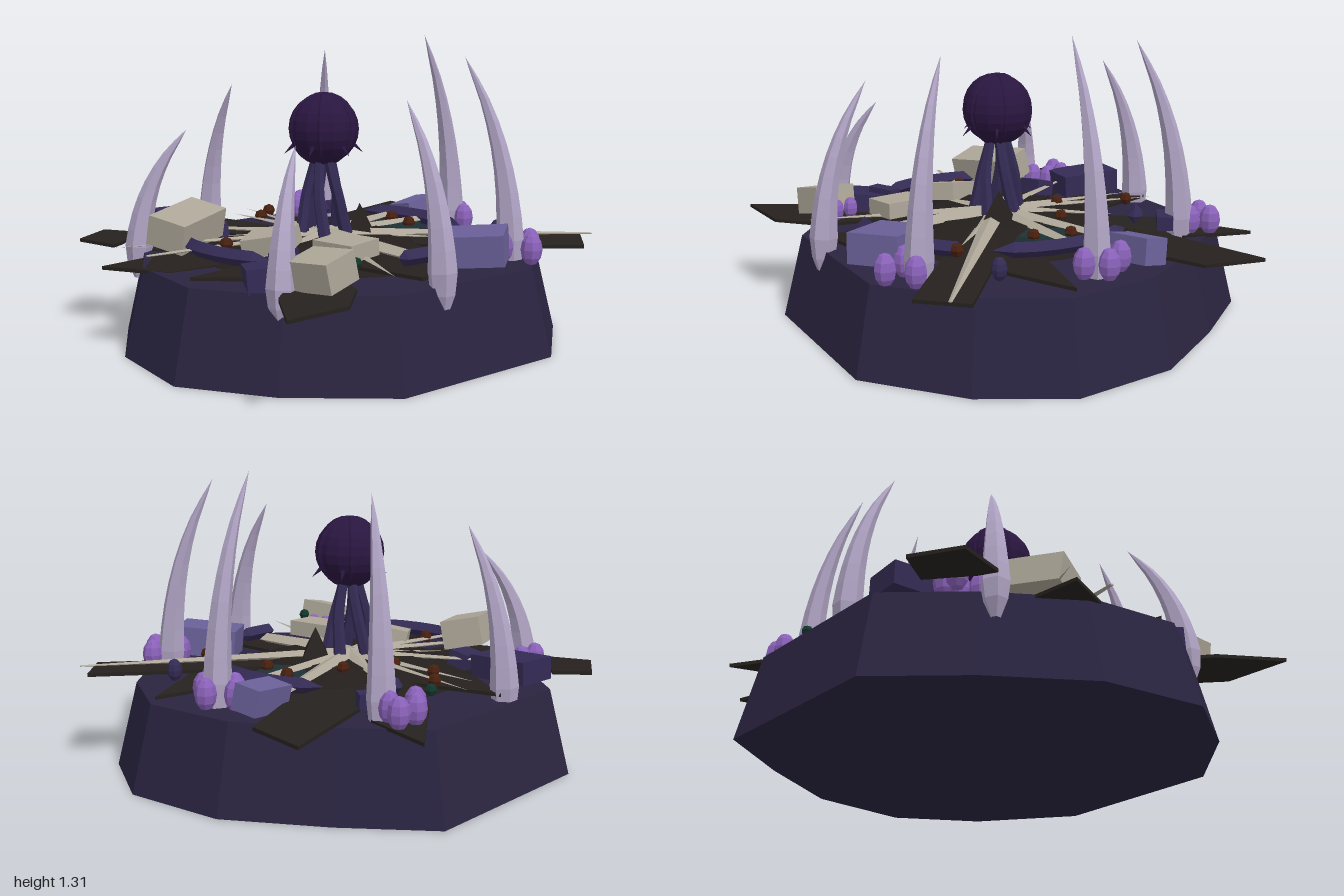
import * as THREE from 'three';
import { ConvexGeometry } from 'three/addons/geometries/ConvexGeometry.js';

const V = (x, y, z) => new THREE.Vector3(x, y, z);
const mat = (color) => new THREE.MeshStandardMaterial({ color, flatShading: true, side: THREE.DoubleSide });
const M = {
  base: mat(0x2a2440), soil: mat(0x231e1c), shard: mat(0x26211e), bone: mat(0xada698),
  claw: mat(0xb0a4c4), violet: mat(0x6a6098), dark: mat(0x342b54), orb: mat(0x2a1640),
  bulb: mat(0x8a62ba), rust: mat(0x48200f), green: mat(0x12362a), teal: mat(0x1d3034),
};

export function createModel() {
  const root = new THREE.Group();
  const CX = 0.025, CZ = 0.065;

  const add = (name, geometry, material, x = 0, y = 0, z = 0) => {
    const mesh = new THREE.Mesh(geometry, material);
    mesh.name = name;
    mesh.position.set(x, y, z);
    root.add(mesh);
    return mesh;
  };

  // Tube whose radius follows a function of its length
  const taperedTube = (points, radius, steps, sides) => {
    const curve = new THREE.CatmullRomCurve3(points);
    const geo = new THREE.TubeGeometry(curve, steps, 1, sides);
    const pos = geo.attributes.position;
    const p = V(0, 0, 0);
    for (let i = 0; i < pos.count; i++) {
      const t = Math.floor(i / (sides + 1)) / steps;
      const c = curve.getPointAt(t);
      p.fromBufferAttribute(pos, i).sub(c).multiplyScalar(radius(t)).add(c);
      pos.setXYZ(i, p.x, p.y, p.z);
    }
    geo.computeVertexNormals();
    return geo;
  };

  // Tapering uneven plinth
  const outline = [
    [0.26, -1], [-0.2, -0.95], [-0.59, -0.71], [-0.93, -0.45], [-0.92, 0.43], [-0.59, 0.71],
    [-0.2, 0.95], [0.26, 1], [0.62, 0.77], [0.93, 0.41], [0.93, -0.42], [0.62, -0.8],
  ];
  add('plinth', new ConvexGeometry(outline.flatMap(([x, z]) =>
    [V(x, 0, z), V(x * 0.91, 0.37, z * 0.91)])), M.base);

  // Scorched mound in the middle
  const mound = new THREE.CylinderGeometry(0.3, 0.6, 0.09, 14);
  add('mound', mound, M.soil, CX, 0.405, CZ);

  // Flat broken ground slabs: height, then corners in x, z
  const slabs = [
    [0.41, [-0.66, -0.96], [-0.38, -0.92], [-0.16, -0.45], [-0.29, -0.26], [-0.5, -0.45]],
    [0.42, [0.67, -0.91], [0.83, -0.74], [0.42, -0.24], [0.13, -0.1], [0.3, -0.45]],
    [0.40, [-0.92, -0.57], [-0.6, -0.5], [-0.28, -0.13], [-0.4, -0.03], [-0.65, -0.2]],
    [0.385, [-0.88, 0.66], [-0.74, 0.56], [-0.6, 0.72], [-0.56, 0.79], [-0.76, 0.85]],
    [0.39, [-0.34, 0.97], [-0.03, 0.83], [0.03, 0.35], [-0.3, 0.4], [-0.36, 0.72]],
    [0.39, [0.9, 0.94], [0.88, 0.64], [0.7, 0.45], [0.4, 0.38], [0.5, 0.62], [0.64, 0.78]],
    [0.41, [0.22, -0.9], [0.4, -0.55], [0.3, -0.34], [0.13, -0.5]],
    [0.40, [-0.8, 0.08], [-0.3, -0.05], [-0.2, 0.2], [-0.55, 0.25]],
    [0.40, [0.75, -0.02], [0.8, 0.2], [0.3, 0.3], [0.25, 0.0]],
    [0.39, [0.1, 0.4], [0.28, 0.45], [0.34, 0.7], [0.2, 0.88]],
    [0.39, [-0.62, 0.5], [-0.25, 0.25], [-0.2, 0.45], [-0.45, 0.66]],
  ];
  slabs.forEach(([y, ...corners], i) => {
    const shape = new THREE.Shape(corners.map(([x, z]) => new THREE.Vector2(x, -z)));
    const geo = new THREE.ExtrudeGeometry(shape, { depth: 0.015, bevelEnabled: false });
    geo.rotateX(-Math.PI / 2);
    const slab = add('groundSlab' + i, geo, M.shard, 0, y - 0.015, 0);
    slab.rotation.set(0.02 * Math.sin(i * 2), 0, 0.02 * Math.cos(i * 3));
  });
  add('pool', new THREE.CylinderGeometry(0.12, 0.14, 0.03, 5), M.teal, 0.03, 0.43, -0.36);

  // Bone splinters radiating from the centre: tip x, tip z, base width, tip width
  const splinters = [
    [-0.22, -0.6, 0.1, 0.05], [0.0, -0.52, 0.07, 0.07], [0.75, -0.89, 0.1, 0.015],
    [-0.75, -0.07, 0.07, 0], [-0.42, -0.23, 0.09, 0], [-0.5, 0.4, 0.07, 0.02],
    [0.83, 0.37, 0.09, 0], [-0.09, 0.9, 0.06, 0.02], [0.56, 0.06, 0.13, 0.1],
    [0.23, 0.55, 0.08, 0], [-0.32, 0.92, 0.07, 0], [-0.68, 0.06, 0.08, 0],
    [0.42, -0.33, 0.07, 0], [0.5, 0.3, 0.07, 0], [-0.25, 0.42, 0.06, 0],
  ];
  splinters.forEach(([x, z, w0, w1]) => {
    const length = Math.hypot(x - CX, z - CZ);
    const geo = new THREE.CylinderGeometry(w1 / 2, w0 / 2, length, 4);
    geo.translate(0, length / 2, 0).rotateX(Math.PI / 2).scale(1, 0.45, 1);
    const bone = add('boneSplinter', geo, M.bone, CX, 0.455, CZ);
    bone.lookAt(x, 0.44, z);
  });

  // Tumbled blocks: material, centre, size, rotation
  const blocks = [
    [M.bone, [-0.24, 0.51, 0.61], [0.18, 0.13, 0.33], [0.1, 0.42, -0.25]],
    [M.bone, [0.1, 0.47, 0.41], [0.21, 0.08, 0.17], [0.15, 0.6, 0.1]],
    [M.bone, [0.42, 0.475, 0.27], [0.21, 0.07, 0.17], [0.05, 0.15, 0]],
    [M.bone, [0.65, 0.465, 0.58], [0.2, 0.12, 0.17], [0.2, 0.2, 0.03]],
    [M.violet, [0.68, 0.46, -0.2], [0.28, 0.13, 0.23], [0.05, 0.65, 0.05]],
    [M.violet, [-0.2, 0.44, -0.7], [0.12, 0.11, 0.22], [0.1, 0.17, 0.15]],
    [M.dark, [-0.64, 0.44, 0.38], [0.29, 0.1, 0.19], [0, -0.08, -0.04]],
    [M.dark, [0.42, 0.41, 0.63], [0.19, 0.1, 0.24], [0.1, -0.5, 0.12]],
    [M.dark, [-0.38, 0.43, 0.4], [0.09, 0.07, 0.15], [0.1, 0.1, 0.2]],
    [M.dark, [-0.55, 0.44, -0.42], [0.07, 0.06, 0.14], [0, -0.6, 0]],
    [M.dark, [0.37, 0.45, 0.55], [0.06, 0.08, 0.14], [0, 0.4, 0]],
  ];
  blocks.forEach(([m, p, s, r]) =>
    add('block', new THREE.BoxGeometry(...s), m, ...p).rotation.set(...r));

  // Broken ring: start angle and sweep of each surviving arc
  [[1.02, 1.08], [4.15, 1.1], [3.62, 0.25], [6.13, 0.33], [5.45, 0.25]].forEach(([start, sweep]) => {
    const pts = [0, 0.25, 0.5, 0.75, 1].map((t) => {
      const a = start + sweep * t;
      return V(CX + 0.62 * Math.cos(a), 0.45, CZ + 0.62 * Math.sin(a));
    });
    add('ringFragment', taperedTube(pts, (t) => (t === 0 || t === 1 ? 0.002 : 0.034), 8, 4), M.dark);
  });

  // Inward curving claws: base x, z, tip x, y, z
  const claws = [
    [0.02, -0.74, 0.025, 1.31, -0.54], [-0.61, -0.45, -0.445, 1.235, -0.325],
    [0.665, -0.45, 0.495, 1.235, -0.325], [-0.785, 0.13, -0.58, 1.08, 0.13],
    [0.84, 0.13, 0.625, 1.08, 0.13], [-0.5, 0.7, -0.37, 0.91, 0.52], [0.55, 0.7, 0.41, 0.91, 0.52],
  ];
  claws.forEach(([bx, bz, tx, ty, tz]) => {
    const pts = [0, 0.2, 0.4, 0.6, 0.8, 1].map((f) => {
      const k = f ** 2.6;
      return V(bx + (tx - bx) * k, 0.25 + (ty - 0.25) * f, bz + (tz - bz) * k);
    });
    const radius = (t) => (t < 0.15 ? 0.02 + 0.3 * t : 0.066 * (1 - t) ** 0.75 + 0.006 * (1 - t));
    add('claw', taperedTube(pts, radius, 10, 6), M.claw);
  });

  // Clusters of ribbed bulbs
  const bulbs = [
    [0.01, -0.81], [0.09, -0.75], [-0.09, -0.74], [-0.01, -0.67], [-0.75, -0.41], [-0.66, -0.46],
    [-0.74, -0.5], [-0.69, -0.34], [-0.61, 0.61], [-0.51, 0.5], [-0.46, 0.56], [-0.6, 0.52],
    [0.69, -0.37], [0.71, -0.52], [0.8, -0.43], [0.57, 0.48], [0.64, 0.47], [0.41, -0.64],
  ];
  bulbs.forEach(([x, z], i) => {
    const r = i > 14 ? 0.033 : 0.046;
    const bulb = add('bulb', new THREE.SphereGeometry(r, 8, 6), i === 17 ? M.dark : M.bulb, x, 0.435, z);
    bulb.scale.y = 1.5;
  });

  // Embers and moss nodules
  [[-0.06, -0.42], [0.1, -0.38], [0.47, -0.4], [-0.27, 0.03], [-0.48, 0.04], [-0.58, -0.08],
    [-0.03, 0.55], [-0.16, -0.18]].forEach(([x, z]) =>
    add('ember', new THREE.SphereGeometry(0.03, 6, 4), M.rust, x, 0.455, z));
  [[-0.72, -0.28], [0.69, 0.45]].forEach(([x, z]) =>
    add('moss', new THREE.SphereGeometry(0.026, 6, 4), M.green, x, 0.48, z));

  // Floating orb with ribs and thorns, held up by twisting roots
  const OY = 0.915;
  add('orb', new THREE.SphereGeometry(0.155, 16, 12), M.orb, CX, OY, CZ);
  for (let i = 0; i < 3; i++) {
    add('orbRib', new THREE.TorusGeometry(0.152, 0.009, 5, 24), M.orb, CX, OY, CZ)
      .rotation.y = 0.25 + i * Math.PI / 3;
  }
  for (let i = 0; i < 6; i++) {
    const a = i * Math.PI / 3;
    const dir = V(Math.cos(a), -0.9, Math.sin(a)).normalize();
    const thorn = add('thorn', new THREE.ConeGeometry(0.012, 0.07, 4), M.orb,
      CX + 0.15 * Math.cos(a), OY - 0.085, CZ + 0.15 * Math.sin(a));
    thorn.quaternion.setFromUnitVectors(V(0, 1, 0), dir);
  }
  for (let i = 0; i < 5; i++) {
    const a = 0.6 + i * Math.PI * 0.4;
    const pts = [[0.11, 0.42, 0], [0.09, 0.52, 0.15], [0.075, 0.62, 0.35], [0.05, 0.72, 0.5], [0.03, 0.8, 0.6]]
      .map(([r, y, twist]) => V(CX + r * Math.cos(a + twist), y, CZ + r * Math.sin(a + twist)));
    add('root', taperedTube(pts, (t) => 0.03 - 0.008 * t, 10, 6), M.dark);
  }

  // Small dark crag behind the orb
  add('crag', new THREE.ConeGeometry(0.1, 0.16, 4), M.shard, 0.1, 0.5, -0.08);

  return root;
}
